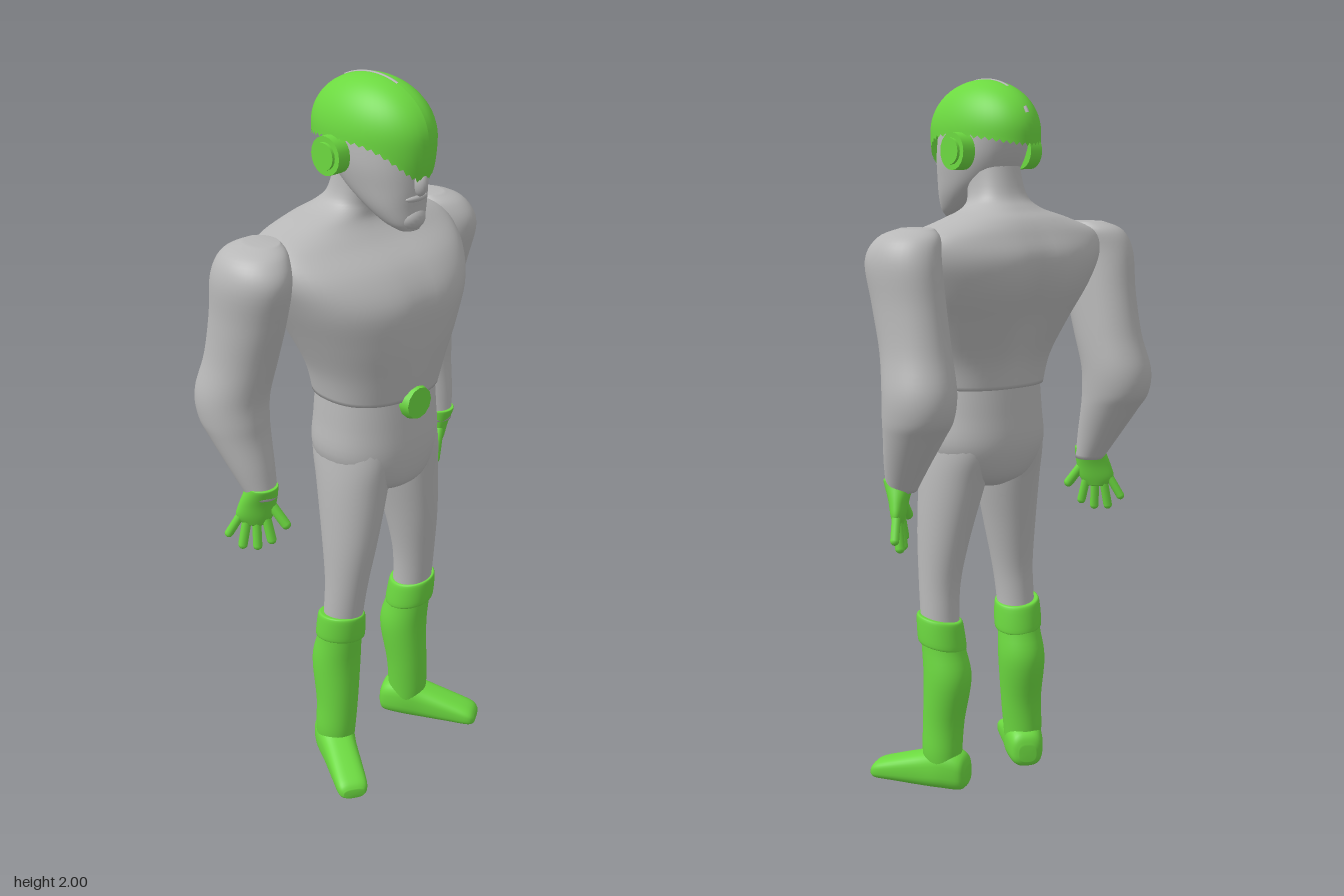
import * as THREE from 'three';

const grey = new THREE.MeshStandardMaterial({ color: 0xb8b8b8 });
grey.name = 'grey suit';
const green = new THREE.MeshStandardMaterial({ color: 0x6cd940, side: THREE.DoubleSide });
green.name = 'green gear';

// Smooth interpolation through section rows
function spline(rows, u) {
  const n = rows.length - 1, i = Math.min(Math.floor(u * n), n - 1), t = u * n - i;
  const a = rows[Math.max(i - 1, 0)], b = rows[i], c = rows[i + 1], d = rows[Math.min(i + 2, n)];
  return b.map((_, k) => 0.5 * (2 * b[k] + (c[k] - a[k]) * t
    + (2 * a[k] - 5 * b[k] + 4 * c[k] - d[k]) * t * t
    + (3 * b[k] - a[k] - 3 * c[k] + d[k]) * t * t * t));
}

// Closed body through sections [y, centre x, centre z, radius x, radius z], from low to high
function loft(rows, { side = 1, power = 2, rule = null, seg = 36, steps = 5 } = {}) {
  const pos = [], idx = [], rings = (rows.length - 1) * steps;
  const bend = (v) => Math.sign(v) * Math.pow(Math.abs(v), 2 / power);
  for (let j = 0; j <= rings; j++) {
    const [y, cx, cz, rx, rz] = spline(rows, j / rings);
    for (let i = 0; i < seg; i++) {
      const a = (i / seg) * Math.PI * 2;
      const p = [side * cx + rx * bend(Math.sin(a)), y, cz + rz * bend(Math.cos(a))];
      if (rule) rule(p, cz);
      pos.push(...p);
    }
  }
  for (let j = 0; j < rings; j++) {
    for (let i = 0; i < seg; i++) {
      const a = j * seg + i, b = j * seg + (i + 1) % seg;
      idx.push(a, b, b + seg, a, b + seg, a + seg);
    }
  }
  // End caps
  const low = pos.length / 3, top = low + 1, last = rings * seg;
  const s = rows[0], e = rows[rows.length - 1];
  pos.push(side * s[1], s[0], s[2], side * e[1], e[0], e[2]);
  for (let i = 0; i < seg; i++) {
    const k = (i + 1) % seg;
    idx.push(low, k, i, top, last + i, last + k);
  }
  const g = new THREE.BufferGeometry();
  g.setAttribute('position', new THREE.Float32BufferAttribute(pos, 3));
  g.setIndex(idx);
  g.computeVertexNormals();
  return g;
}

function add(parent, name, geometry, material) {
  const m = new THREE.Mesh(geometry, material);
  m.name = name;
  parent.add(m);
  return m;
}

function ball(parent, name, mat, p, r) {
  return add(parent, name, new THREE.SphereGeometry(1, 20, 14).scale(...r).translate(...p), mat);
}

// Rounded finger from a to b
function finger(parent, name, a, b, r) {
  const A = new THREE.Vector3(...a), B = new THREE.Vector3(...b), d = B.clone().sub(A);
  const m = add(parent, name, new THREE.CapsuleGeometry(r, d.length(), 5, 10), green);
  m.position.copy(A).lerp(B, 0.5);
  m.quaternion.setFromUnitVectors(new THREE.Vector3(0, 1, 0), d.normalize());
}

// Dome whose lower edge dips to a visor point at the front
function helmetGeometry() {
  const g = new THREE.SphereGeometry(1, 48, 28), p = g.attributes.position, uv = g.attributes.uv;
  for (let i = 0; i < p.count; i++) {
    const a = uv.getX(i) * Math.PI * 2, t = 1 - uv.getY(i), f = Math.cos(a);
    const edge = f > 0 ? 1.848 - 0.09 * Math.pow(f, 3) : 1.848 - 0.025 * f * f;
    const bottom = Math.acos((edge - 1.86) / 0.14), th = t * bottom;
    const r = th < Math.PI / 2 ? Math.sin(th) : 1 - 0.25 * (1 - Math.sin(th));
    p.setXYZ(i, 0.118 * r * Math.sin(a), 1.86 + 0.14 * Math.cos(th), 0.1 + 0.19 * r * f);
  }
  g.computeVertexNormals();
  return g;
}

function helmetArc(from, to) {
  const pts = [];
  for (let i = 0; i <= 8; i++) {
    const t = from + (to - from) * i / 8;
    pts.push(new THREE.Vector3(0, 1.858 + 0.14 * Math.cos(t), 0.1 + 0.19 * Math.sin(t)));
  }
  return new THREE.CatmullRomCurve3(pts);
}

export function createModel() {
  const model = new THREE.Group();
  model.name = 'caped style hero figure';
  const body = new THREE.Group();
  body.name = 'body';
  body.rotation.y = Math.PI / 4;
  model.add(body);

  // Torso with a spine groove and a slight chest cleft
  add(body, 'torso', loft([
    [1.17, 0, 0.115, 0.176, 0.148], [1.25, 0, 0.115, 0.195, 0.165], [1.35, 0, 0.1, 0.238, 0.197],
    [1.45, 0, 0.075, 0.285, 0.222], [1.53, 0, 0.045, 0.315, 0.2], [1.59, 0, 0.02, 0.3, 0.145],
    [1.63, 0, 0.015, 0.2, 0.11], [1.66, 0, 0.03, 0.11, 0.088], [1.7, 0, 0.05, 0.076, 0.076],
    [1.8, 0, 0.08, 0.07, 0.08],
  ], {
    power: 2.3, seg: 56, rule: (p, cz) => {
      const mid = Math.exp(-((p[0] / 0.045) ** 2)) * Math.exp(-(((p[1] - 1.4) / 0.14) ** 2));
      p[2] += p[2] < cz ? 0.025 * mid : -0.008 * mid;
    },
  }), grey);
  add(body, 'pelvis', loft([
    [0.885, 0, 0.125, 0.06, 0.08], [0.92, 0, 0.122, 0.13, 0.13], [1.0, 0, 0.115, 0.178, 0.152],
    [1.1, 0, 0.115, 0.174, 0.148], [1.2, 0, 0.115, 0.167, 0.14],
  ], { power: 2.2 }), grey);

  // Belt buckle
  const buckle = new THREE.CylinderGeometry(0.044, 0.053, 0.035, 12).rotateX(Math.PI / 2);
  add(body, 'beltBuckle', buckle.translate(0, 1.16, 0.262), green);

  // Head and face
  add(body, 'head', loft([
    [1.63, 0, 0.228, 0.03, 0.024], [1.65, 0, 0.208, 0.054, 0.05], [1.69, 0, 0.175, 0.076, 0.084],
    [1.74, 0, 0.14, 0.09, 0.122], [1.8, 0, 0.118, 0.1, 0.142], [1.88, 0, 0.1, 0.1, 0.15],
  ], { power: 2.2 }), grey);
  ball(body, 'chin', grey, [0, 1.66, 0.235], [0.042, 0.032, 0.032]);
  ball(body, 'upperLip', grey, [0, 1.716, 0.247], [0.04, 0.012, 0.02]);
  ball(body, 'nose', grey, [0, 1.755, 0.262], [0.017, 0.034, 0.024]);

  // Helmet with crest slit and ear discs
  add(body, 'helmet', helmetGeometry(), green);
  add(body, 'crestSlit', new THREE.TubeGeometry(helmetArc(-0.55, 0.45), 20, 0.005, 6), grey);
  add(body, 'rearSlit', new THREE.TubeGeometry(helmetArc(-1.2, -1.08), 6, 0.006, 6), grey);

  for (const s of [1, -1]) {
    const sideName = s > 0 ? 'left' : 'right';
    const disc = new THREE.CylinderGeometry(0.05, 0.05, 0.04, 20).rotateZ(Math.PI / 2);
    add(body, sideName + 'EarDisc', disc.translate(s * 0.118, 1.81, 0.07), green);
    const hub = new THREE.CylinderGeometry(0.035, 0.035, 0.02, 20).rotateZ(Math.PI / 2);
    add(body, sideName + 'EarHub', hub.translate(s * 0.136, 1.81, 0.07), green);

    // Arm
    add(body, sideName + 'Arm', loft([
      [0.92, 0.342, 0.035, 0.04, 0.042], [1.0, 0.348, 0, 0.06, 0.066], [1.08, 0.352, -0.038, 0.079, 0.088],
      [1.13, 0.354, -0.058, 0.088, 0.104], [1.2, 0.352, -0.062, 0.092, 0.108], [1.3, 0.342, -0.035, 0.086, 0.108],
      [1.42, 0.34, -0.005, 0.085, 0.116], [1.53, 0.342, 0.015, 0.086, 0.122], [1.59, 0.325, 0.012, 0.075, 0.095],
      [1.615, 0.3, 0.01, 0.04, 0.05],
    ], { side: s }), grey);

    // Gloved hand, thumb towards the front
    const hand = new THREE.Group();
    hand.name = sideName + 'Hand';
    hand.position.set(s * 0.355, 0, 0.03);
    hand.rotation.y = s > 0 ? -Math.PI * 0.75 : -Math.PI / 4;
    body.add(hand);
    add(hand, 'glove', loft([
      [0.835, -0.01, 0, 0.03, 0.013], [0.86, -0.01, 0, 0.05, 0.02], [0.9, 0, 0, 0.05, 0.028],
      [0.945, 0.012, 0, 0.044, 0.042], [0.953, 0.012, 0, 0.043, 0.041],
    ]), green);
    finger(hand, 'littleFinger', [-0.045, 0.865, 0], [-0.08, 0.805, 0], 0.012);
    finger(hand, 'ringFinger', [-0.03, 0.85, 0], [-0.043, 0.775, 0.008], 0.013);
    finger(hand, 'middleFinger', [-0.005, 0.85, 0], [-0.003, 0.773, 0.01], 0.013);
    finger(hand, 'indexFinger', [0.02, 0.86, 0], [0.035, 0.79, 0.008], 0.013);
    finger(hand, 'thumb', [0.035, 0.895, 0], [0.074, 0.84, 0.012], 0.014);

    // Leg
    add(body, sideName + 'Leg', loft([
      [0.44, 0.142, 0.13, 0.055, 0.055], [0.53, 0.14, 0.138, 0.055, 0.058], [0.62, 0.134, 0.143, 0.059, 0.065],
      [0.75, 0.12, 0.14, 0.071, 0.086], [0.9, 0.1, 0.128, 0.085, 0.11], [1.0, 0.09, 0.118, 0.085, 0.128],
      [1.1, 0.08, 0.115, 0.08, 0.12],
    ], { side: s }), grey);

    // Boot shaft and slanted cuff
    add(body, sideName + 'Boot', loft([
      [0.05, 0.15, 0.112, 0.05, 0.056], [0.11, 0.152, 0.115, 0.056, 0.06], [0.2, 0.146, 0.115, 0.059, 0.062],
      [0.33, 0.139, 0.105, 0.067, 0.072], [0.42, 0.141, 0.12, 0.061, 0.065], [0.49, 0.143, 0.13, 0.059, 0.061],
    ], { side: s }), green);
    add(body, sideName + 'BootCuff', loft([
      [0.425, 0.142, 0.124, 0.062, 0.064], [0.432, 0.142, 0.125, 0.069, 0.071], [0.495, 0.144, 0.132, 0.066, 0.068],
      [0.505, 0.144, 0.133, 0.059, 0.061],
    ], { side: s, rule: (p) => { p[1] += 0.15 * (s * p[0] - 0.142) + 0.12 * (p[2] - 0.13); } }), green);

    // Foot, lofted from heel to toe and turned outwards
    const foot = add(body, sideName + 'Foot', loft([
      [-0.07, 0, -0.045, 0.025, 0.025], [-0.055, 0, -0.052, 0.046, 0.05], [0, 0, -0.06, 0.056, 0.06],
      [0.07, 0, -0.048, 0.05, 0.05], [0.15, 0, -0.036, 0.047, 0.037], [0.21, 0, -0.026, 0.043, 0.026],
      [0.228, 0, -0.02, 0.03, 0.014],
    ], { power: 2.8, rule: (p) => { p[2] = Math.min(p[2], 0); } }).rotateX(Math.PI / 2), green);
    foot.position.set(s * 0.148, 0, 0.105);
    foot.rotation.y = s * 0.515;
  }
  return model;
}
